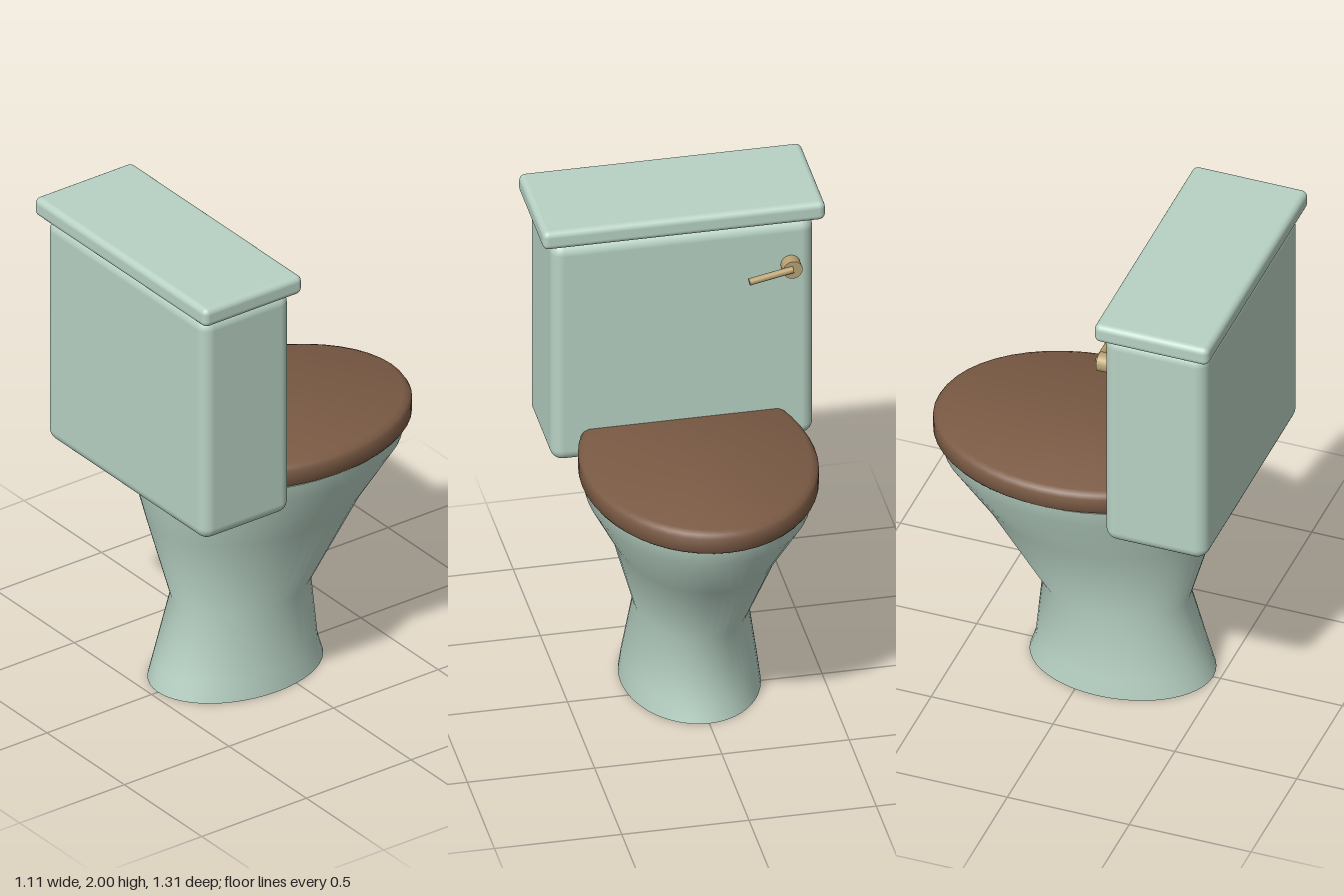
import * as THREE from 'three';
import { toCreasedNormals } from 'three/addons/utils/BufferGeometryUtils.js';
import { RoundedBoxGeometry } from 'three/addons/geometries/RoundedBoxGeometry.js';

const mint = new THREE.MeshStandardMaterial({ color: 0xb8d2c4 });
const wood = new THREE.MeshStandardMaterial({ color: 0x7a5a44 });
const brass = new THREE.MeshStandardMaterial({ color: 0xb8a272 });

// Stack of elliptical rings [y, half width, front z, back z], bottom to top, capped at both ends
function loft(rings) {
  const cap = ([y, , f, b]) => [y, 0, (f + b) / 2, (f + b) / 2];
  const rows = [cap(rings[0]), ...rings, cap(rings[rings.length - 1])];
  const geo = new THREE.LatheGeometry(rows.map((r, i) => new THREE.Vector2(1, i)), 48);
  const p = geo.attributes.position;
  for (let i = 0; i < p.count; i++) {
    const [y, w, f, b] = rows[Math.round(p.getY(i))];
    p.setXYZ(i, p.getX(i) * w, y, (f + b) / 2 + p.getZ(i) * (b - f) / 2);
  }
  return toCreasedNormals(geo, 0.9);
}

export function createModel() {
  const model = new THREE.Group();
  const add = (name, geo, mat, x = 0, y = 0, z = 0) => {
    const mesh = new THREE.Mesh(geo, mat);
    mesh.name = name;
    mesh.position.set(x, y, z);
    model.add(mesh);
    return mesh;
  };

  // Pedestal flaring forward into the bowl
  add('bowl', loft([
    [0, 0.27, -0.27, 0.47],
    [0.08, 0.26, -0.245, 0.445],
    [0.35, 0.22, -0.22, 0.37],
    [0.7, 0.32, -0.46, 0.47],
    [0.92, 0.43, -0.615, 0.52],
    [0.99, 0.445, -0.63, 0.53],
  ]), mint);

  // Closed wooden seat with a rounded rim
  add('seatLid', loft([
    [0.985, 0.435, -0.63, 0.5],
    [0.992, 0.448, -0.645, 0.51],
    [1.005, 0.457, -0.655, 0.52],
    [1.06, 0.457, -0.655, 0.52],
    [1.075, 0.448, -0.645, 0.51],
    [1.085, 0.428, -0.623, 0.49],
  ]), wood);

  // Cistern and its overhanging cover
  add('tank', new RoundedBoxGeometry(1.03, 0.975, 0.42, 4, 0.05), mint, 0, 1.4325, 0.42);
  add('tankLid', new RoundedBoxGeometry(1.11, 0.08, 0.47, 4, 0.025), mint, 0, 1.96, 0.42);

  // Flush handle: round boss and a slightly drooping lever
  const boss = add('flushBoss', new THREE.CylinderGeometry(0.038, 0.038, 0.06, 24), brass, -0.42, 1.73, 0.19);
  boss.rotation.x = Math.PI / 2;
  const start = new THREE.Vector3(-0.42, 1.735, 0.158);
  const end = new THREE.Vector3(-0.245, 1.708, 0.145);
  const dir = end.clone().sub(start);
  const lever = add('flushLever', new THREE.CylinderGeometry(0.014, 0.014, dir.length(), 16), brass);
  lever.position.copy(start).add(end).multiplyScalar(0.5);
  lever.quaternion.setFromUnitVectors(new THREE.Vector3(0, 1, 0), dir.normalize());

  return model;
}
